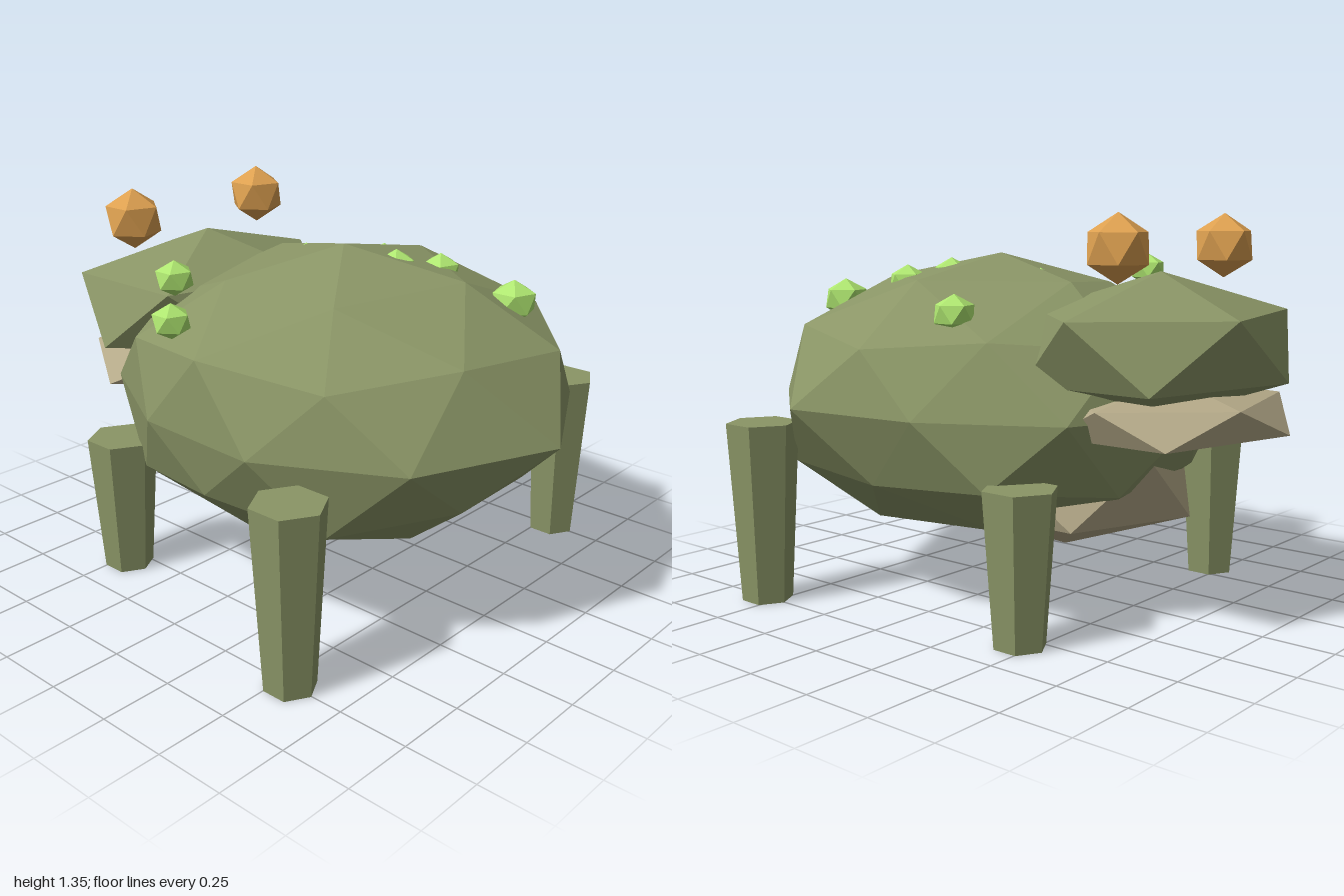
import * as THREE from 'three';

const material = (name, color) => {
  const m = new THREE.MeshStandardMaterial({ color });
  m.name = name;
  return m;
};

// Faceted ball with a corner straight up; ring corners start 18 degrees from +z.
function facetedBall(rx, ry, rz, detail = 0, radiusAt = () => 1) {
  const g = new THREE.IcosahedronGeometry(1, detail);
  g.rotateX(-Math.atan((1 + Math.sqrt(5)) / 2));
  g.rotateY(Math.PI / 10);
  const p = g.attributes.position;
  const v = new THREE.Vector3();
  for (let i = 0; i < p.count; i++) {
    v.fromBufferAttribute(p, i);
    v.multiplyScalar(radiusAt(v));
    p.setXYZ(i, v.x * rx, v.y * ry, v.z * rz);
  }
  g.computeVertexNormals();
  return g;
}

// Lumpiness of the body: radius factors per ring, going round from +z towards +x
const lumps = {
  topRing: [0.99, 1, 0.99, 0.94, 0.93],
  shoulder: [1.02, 1, 0.95, 0.93, 0.97, 0.97, 0.97, 1, 0.97, 0.98],
  waist: [1.06, 0.95, 0.99, 0.91, 0.98, 1, 0.97, 0.9, 0.93, 1.01],
  belly: [0.93, 1, 0.93, 1, 1, 0.95, 1, 0.92, 1, 0.955],
  bottomRing: [1.04, 0.98, 0.98, 1, 1],
};

function bodyRadius(v) {
  const h = Math.abs(v.y);
  if (h > 0.95) return v.y > 0 ? 1.02 : 1;
  const az = (THREE.MathUtils.radToDeg(Math.atan2(v.x, v.z)) + 360) % 360;
  const pick = (list, start) => list[Math.round((az - start) * list.length / 360 + list.length) % list.length];
  if (h > 0.7) return v.y > 0 ? pick(lumps.topRing, 18) : pick(lumps.bottomRing, 54);
  if (h > 0.2) return v.y > 0 ? pick(lumps.shoulder, 18) : pick(lumps.belly, 18);
  return pick(lumps.waist, 0);
}

export function createModel() {
  const skin = material('olive skin', 0x8a9566);
  const pale = material('pale underside', 0xb4a988);
  const amber = material('amber eye', 0xdda050);
  const lime = material('lime wart', 0xaee670);

  const model = new THREE.Group();
  model.name = 'toad';
  const add = (name, geometry, mat, x, y, z) => {
    const mesh = new THREE.Mesh(geometry, mat);
    mesh.name = name;
    mesh.position.set(x, y, z);
    model.add(mesh);
  };

  // Body, head, jaw (narrower along its upper edge) and throat
  add('body', facetedBall(0.83, 0.5, 0.85, 1, bodyRadius), skin, 0, 0.695, 0.1);
  add('head', facetedBall(0.58, 0.245, 0.46), skin, 0, 0.91, -0.59);
  add('jaw', facetedBall(0.52, 0.125, 0.42, 0, (v) => (v.y > 0 ? 0.93 : 1)), pale, 0, 0.69, -0.643);
  add('throat', facetedBall(0.45, 0.26, 0.52), pale, 0, 0.432, -0.2);

  // Tapered six-sided legs and bulging eyes
  const leg = (h) => new THREE.CylinderGeometry(0.125, 0.088, h, 6).toNonIndexed();
  const legs = { frontLeg: [0.565, 0.505, -0.46], backLeg: [0.752, 0.63, 0.545] };
  for (const [side, s] of [['left', 1], ['right', -1]]) {
    for (const [name, [x, h, z]] of Object.entries(legs)) {
      const g = leg(h);
      g.computeVertexNormals();
      add(`${side} ${name}`, g, skin, s * x, h / 2, z);
    }
    add(`${side} eye`, facetedBall(0.11, 0.11, 0.11), amber, s * 0.315, 1.235, -0.64);
  }

  // Warts: x, y, z, radius
  const warts = [
    [-0.62, 1.025, -0.1, 0.07],
    [-0.525, 1.135, -0.185, 0.07],
    [0.07, 1.105, -0.14, 0.06],
    [0.49, 1.02, -0.12, 0.075],
    [0.115, 1.125, 0.24, 0.072],
    [0.25, 1.1, 0.33, 0.073],
    [0.3, 1.033, 0.605, 0.085],
  ];
  warts.forEach(([x, y, z, r], i) => add(`wart ${i + 1}`, facetedBall(r, r * 0.87, r), lime, x, y, z));

  return model;
}
